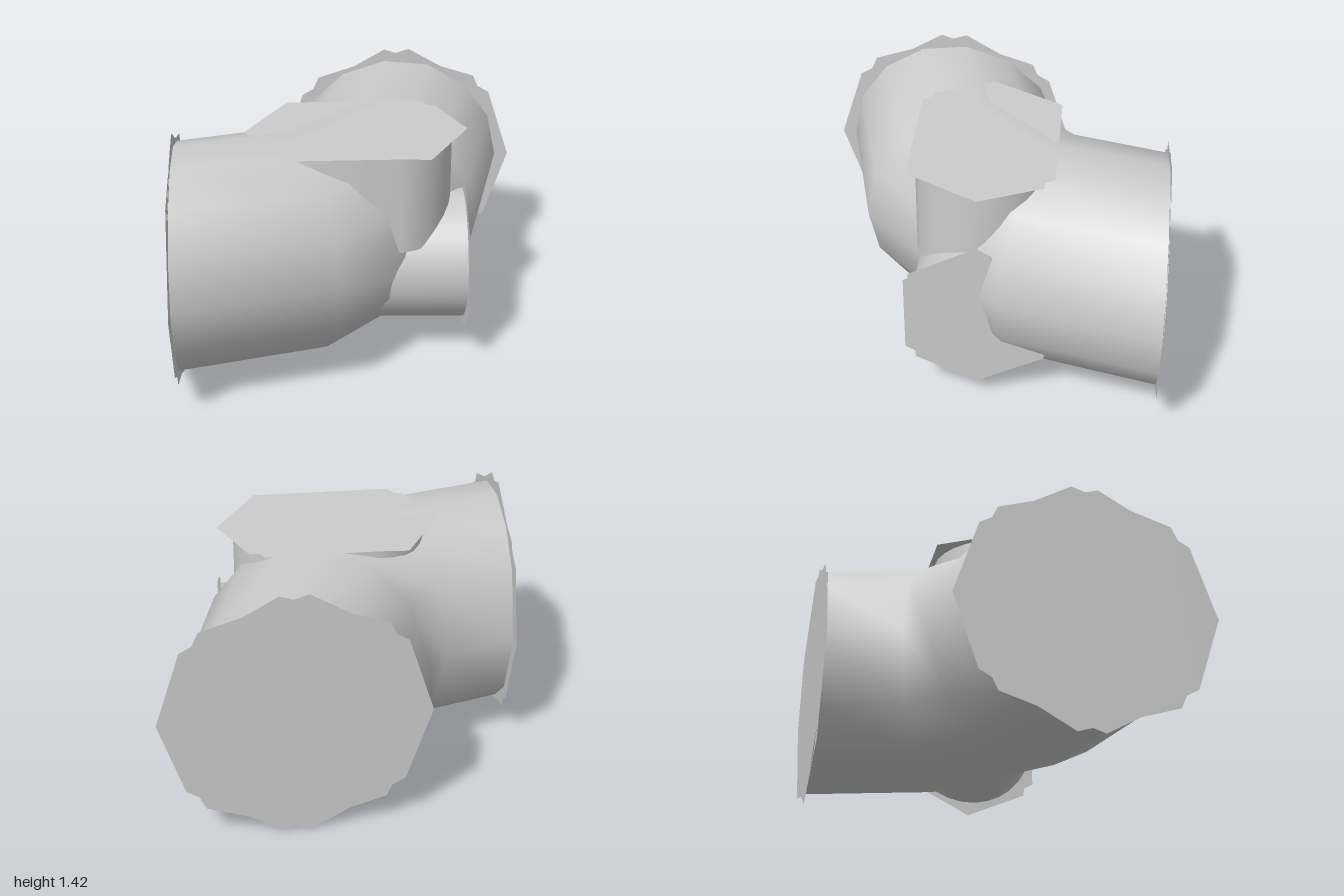
import * as THREE from 'three';

const rad = THREE.MathUtils.degToRad;

export function createModel() {
  const model = new THREE.Group();
  const grey = new THREE.MeshStandardMaterial({ color: 0xcccccc, side: THREE.DoubleSide });

  const add = (name, geometry, x = 0, y = 0, z = 0, rotX = 0, rotY = 0, rotZ = 0) => {
    const mesh = new THREE.Mesh(geometry, grey);
    mesh.name = name;
    mesh.position.set(x, y, z);
    mesh.rotation.set(rotX, rotY, rotZ);
    model.add(mesh);
  };

  // Flat polygon with corners at the given angles; stretch pulls its halves apart
  const plate = (radius, angles, stretch = 0) =>
    new THREE.ShapeGeometry(new THREE.Shape(angles.map((a) => {
      const c = Math.cos(rad(a));
      return new THREE.Vector2(radius * c + stretch * Math.sign(c), radius * Math.sin(rad(a)));
    })));

  // Elbow pipe: rings of [centre x, centre z, outward x, outward z, half width, half height]
  const half = [[-1, 0.28, 0, 1, 0.64, 0.64], [-0.35, 0.105, 0.387, 0.922, 0.645, 0.634]];
  const swapped = half.map(([x, z, dx, dz, w, h]) => [z, x, dz, dx, w, h]).reverse();
  const rings = [...half, ...swapped];
  const side = [24, 48, 72, 96, 120, 144];
  const around = [0, ...side, 180, ...side.map((a) => 360 - a).reverse()];
  const n = around.length;
  const positions = [], index = [];
  rings.forEach(([x, z, dx, dz, w, h], i) => {
    around.forEach((a, j) => {
      const r = w * Math.cos(rad(a));
      positions.push(x + dx * r, 0.71 + h * Math.sin(rad(a)), z + dz * r);
      if (i === rings.length - 1) return;
      const p = i * n + j, q = i * n + (j + 1) % n;
      index.push(p, p + n, q, q, p + n, q + n);
    });
  });
  const elbow = new THREE.BufferGeometry();
  elbow.setAttribute('position', new THREE.Float32BufferAttribute(positions, 3));
  elbow.setIndex(index);
  elbow.computeVertexNormals();
  add('elbowPipe', elbow);

  // Flanges: two thin eight-cornered discs, mirrored to each other, at each end
  const corners = [0, 36, 84, 132, 180, 216, 264, 312];
  const mirrored = corners.map((a) => -a);
  add('backFlangeOuter', plate(0.715, corners), 0.285, 0.71, -1);
  add('backFlangeInner', plate(0.715, mirrored), 0.285, 0.71, -0.995);
  add('sideFlangeOuter', plate(0.715, mirrored), -1, 0.71, 0.285, 0, -Math.PI / 2);
  add('sideFlangeInner', plate(0.715, corners), -0.995, 0.71, 0.285, 0, -Math.PI / 2);

  // Upright branch: an oval tube under a stretched six-sided plate
  const stretch = 0.155;
  const oval = new THREE.CylinderGeometry(0.375, 0.375, 0.58, 30, 1, true);
  const pos = oval.attributes.position;
  for (let i = 0; i < pos.count; i++) {
    const x = pos.getX(i);
    if (Math.abs(x) > 0.01) pos.setX(i, x + stretch * Math.sign(x));
  }
  oval.computeVertexNormals();
  add('topBranch', oval, 0, 1.04, 0);
  const hex = [0, 60, 120, 180, 240, 300];
  add('topPlate', plate(0.46, hex, stretch), 0, 1.332, 0, -Math.PI / 2);
  add('topPlateUnderside', plate(0.46, [0, 48, 120, 180, 228, 300], stretch), 0, 1.327, 0, -Math.PI / 2);

  // Sideways branch: a round tube closed by a six-sided plate
  add('sideBranch', new THREE.CylinderGeometry(0.38, 0.37, 0.55, 30, 1, true),
    0.335, 0.56, 0, 0, 0, -Math.PI / 2);
  add('sidePlate', plate(0.46, hex.map((a) => a + 30)), 0.613, 0.56, 0, 0, -Math.PI / 2);
  add('sidePlateInner', plate(0.46, [36, 90, 150, 216, 270, 318]), 0.608, 0.56, 0, 0, -Math.PI / 2);

  return model;
}
